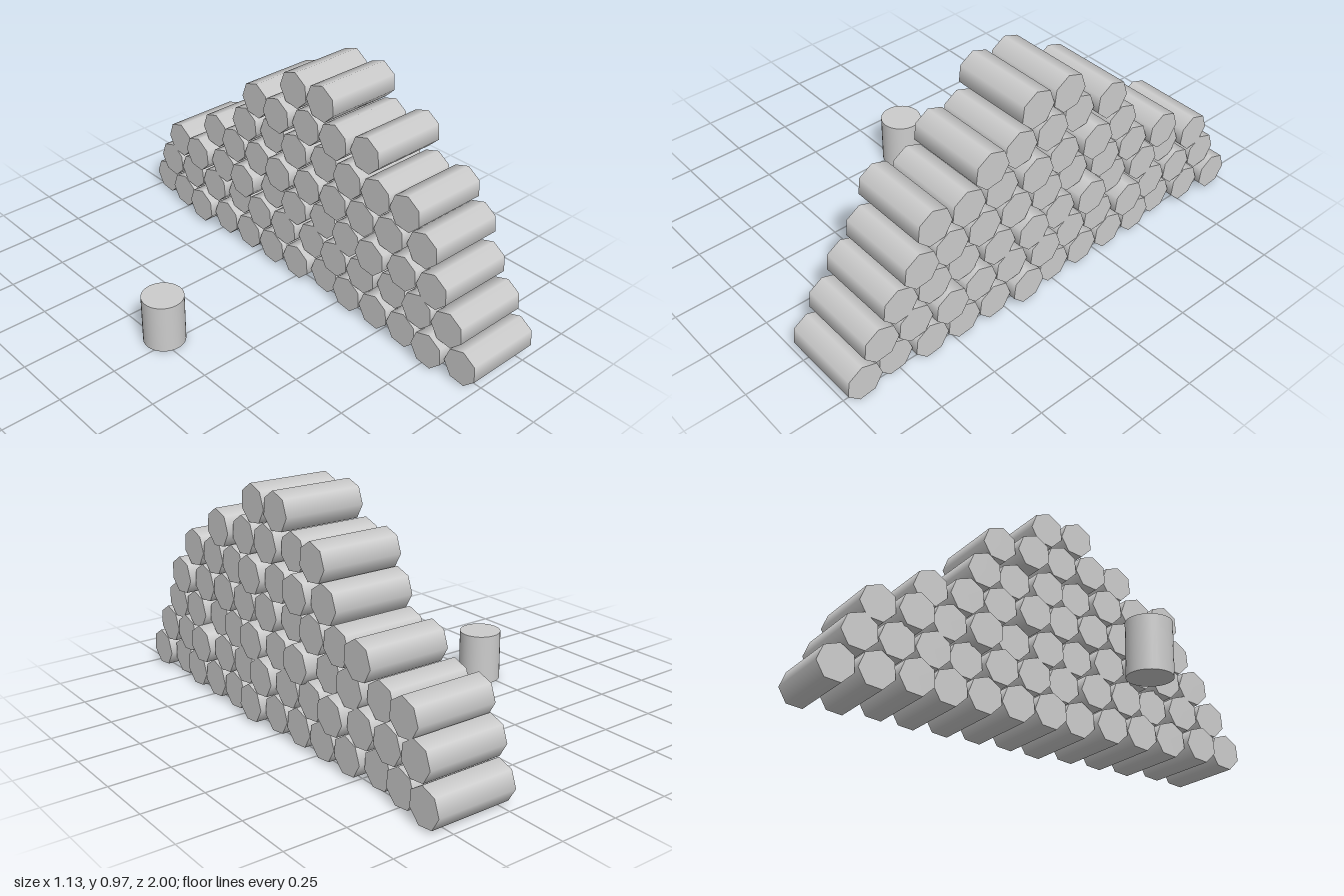
import * as THREE from 'three';

export function createModel() {
  const model = new THREE.Group();
  const grey = new THREE.MeshStandardMaterial({ color: 0xcccccc });
  grey.name = 'plain grey';

  // Seven-sided log lying along x
  const logGeometry = new THREE.CylinderGeometry(0.079, 0.079, 0.341, 7, 1, false, THREE.MathUtils.degToRad(-83));
  logGeometry.rotateZ(-Math.PI / 2);

  // Rows of the stack: front log z, height, number of logs,
  // and which logs are pulled out to the left (+x) or pushed to the right (-x)
  const rows = [
    { z: 0.928, y: 0.083, count: 13, out: [5, 12], back: [1, 10] },
    { z: 0.847, y: 0.217, count: 12, out: [2, 5, 8], back: [] },
    { z: 0.757, y: 0.348, count: 11, out: [4, 6], back: [2, 7, 9] },
    { z: 0.677, y: 0.483, count: 9, out: [0, 8], back: [5] },
    { z: 0.597, y: 0.618, count: 7, out: [3, 5], back: [] },
    { z: 0.356, y: 0.756, count: 5, out: [0], back: [3] },
    { z: 0.126, y: 0.894, count: 2, out: [], back: [] },
  ];
  const spacing = 0.154;
  const slide = 0.022;

  const stack = new THREE.Group();
  stack.name = 'logStack';
  rows.forEach((row, r) => {
    const group = new THREE.Group();
    group.name = `logRow${r + 1}`;
    for (let i = 0; i < row.count; i++) {
      const log = new THREE.Mesh(logGeometry, grey);
      log.name = 'log';
      const shift = row.out.includes(i) ? slide : row.back.includes(i) ? -slide : 0;
      log.position.set(0.37 + shift, row.y, row.z - i * spacing);
      group.add(log);
    }
    stack.add(group);
  });
  model.add(stack);

  // Round chopping block standing beside the stack
  const block = new THREE.Mesh(new THREE.CylinderGeometry(0.087, 0.087, 0.212, 32), grey);
  block.name = 'choppingBlock';
  block.position.set(-0.477, 0.106, -0.035);
  model.add(block);

  return model;
}
